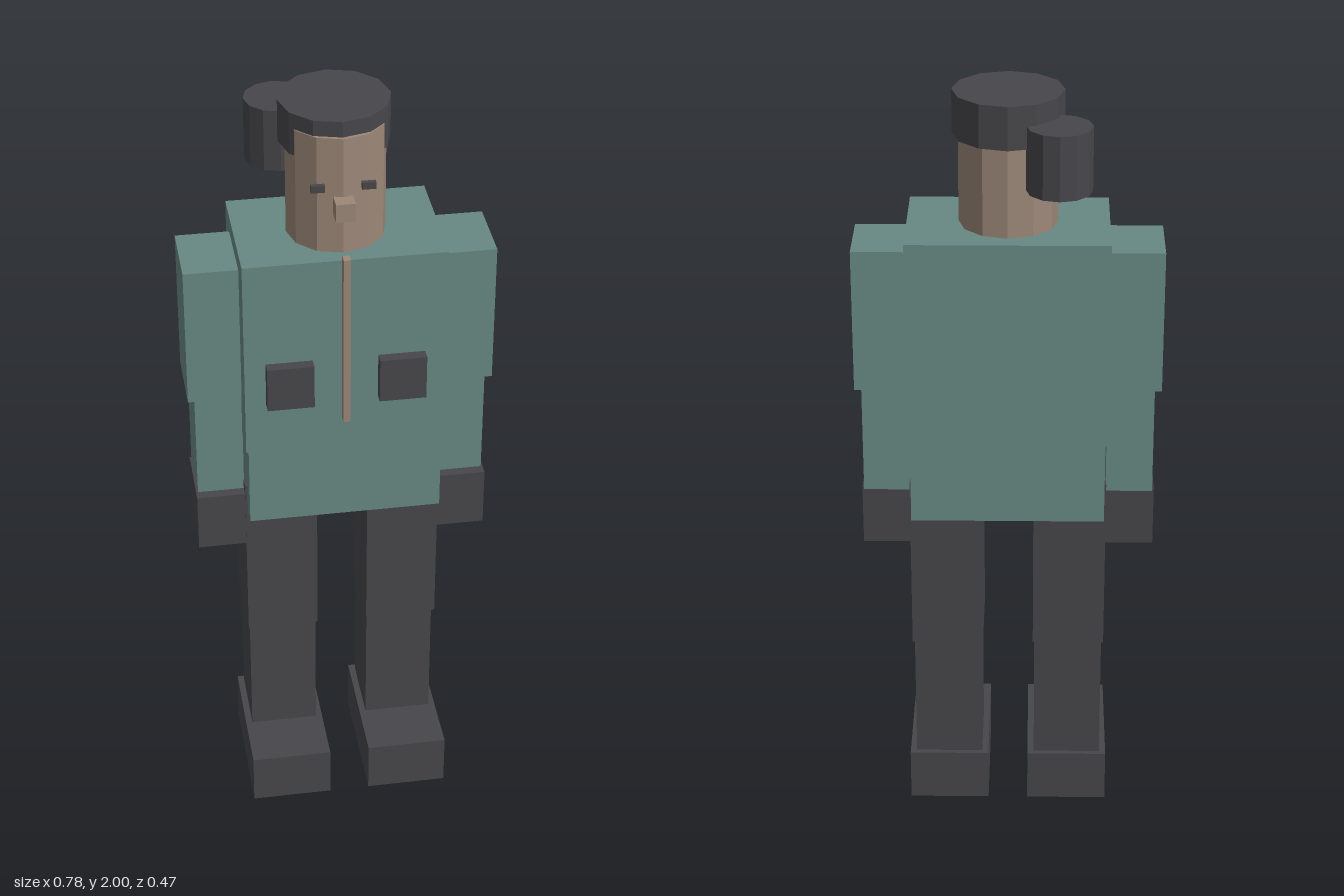
import * as THREE from 'three';

export function createModel() {
  const model = new THREE.Group();
  model.name = 'blockyFigure';

  const makeMaterial = (name, color) => {
    const m = new THREE.MeshStandardMaterial({ color });
    m.name = name;
    return m;
  };
  const teal = makeMaterial('teal jacket', 0x688983);
  const skin = makeMaterial('tan skin', 0x9c8878);
  const dark = makeMaterial('charcoal', 0x47464a);

  const add = (name, geometry, material, x, y, z) => {
    const mesh = new THREE.Mesh(geometry, material);
    mesh.name = name;
    mesh.position.set(x, y, z);
    model.add(mesh);
  };

  // Box given by its extents on each axis
  const box = (name, material, [x0, x1], [y0, y1], [z0, z1]) =>
    add(name, new THREE.BoxGeometry(x1 - x0, y1 - y0, z1 - z0), material,
      (x0 + x1) / 2, (y0 + y1) / 2, (z0 + z1) / 2);

  // The same box on both sides of the body
  const pair = (name, material, [x0, x1], y, z) => {
    box('left' + name, material, [x0, x1], y, z);
    box('right' + name, material, [-x1, -x0], y, z);
  };

  // Upright twelve-sided drum with faceted sides
  const drum = (name, material, radius, [y0, y1], x, z) => {
    const geometry = new THREE.CylinderGeometry(radius, radius, y1 - y0, 12).toNonIndexed();
    geometry.computeVertexNormals();
    add(name, geometry, material, x, (y0 + y1) / 2, z);
  };

  // Jacket: the hem is slightly narrower than the chest
  box('chest', teal, [-0.253, 0.253], [1.11, 1.652], [-0.181, 0.149]);
  box('hem', teal, [-0.247, 0.247], [0.894, 1.11], [-0.181, 0.149]);
  box('zipper', skin, [-0.009, 0.009], [1.195, 1.665], [0.149, 0.173]);
  pair('Pocket', dark, [0.082, 0.2], [1.252, 1.372], [0.14, 0.178]);

  // Arms
  pair('UpperArm', teal, [0.25, 0.389], [1.23, 1.605], [-0.111, 0.077]);
  pair('Forearm', teal, [0.252, 0.372], [0.94, 1.23], [-0.098, 0.068]);
  pair('Hand', dark, [0.248, 0.377], [0.783, 0.942], [-0.09, 0.095]);

  // Legs
  pair('Thigh', dark, [0.066, 0.253], [0.497, 0.97], [-0.123, 0.098]);
  pair('Shin', dark, [0.07, 0.248], [0.14, 0.497], [-0.106, 0.079]);
  pair('Foot', dark, [0.053, 0.265], [0, 0.142], [-0.12, 0.233]);

  // Head, with the brow showing through the front of the hair
  drum('head', skin, 0.124, [1.65, 1.96], 0, -0.012);
  drum('hair', dark, 0.138, [1.89, 2], 0, -0.035);
  drum('hairBun', dark, 0.081, [1.785, 1.948], -0.125, -0.154);

  // Face
  box('nose', skin, [-0.024, 0.024], [1.757, 1.805], [0.1, 0.148]);
  pair('Eye', dark, [0.045, 0.079], [1.821, 1.839], [0.1, 0.112]);

  return model;
}
